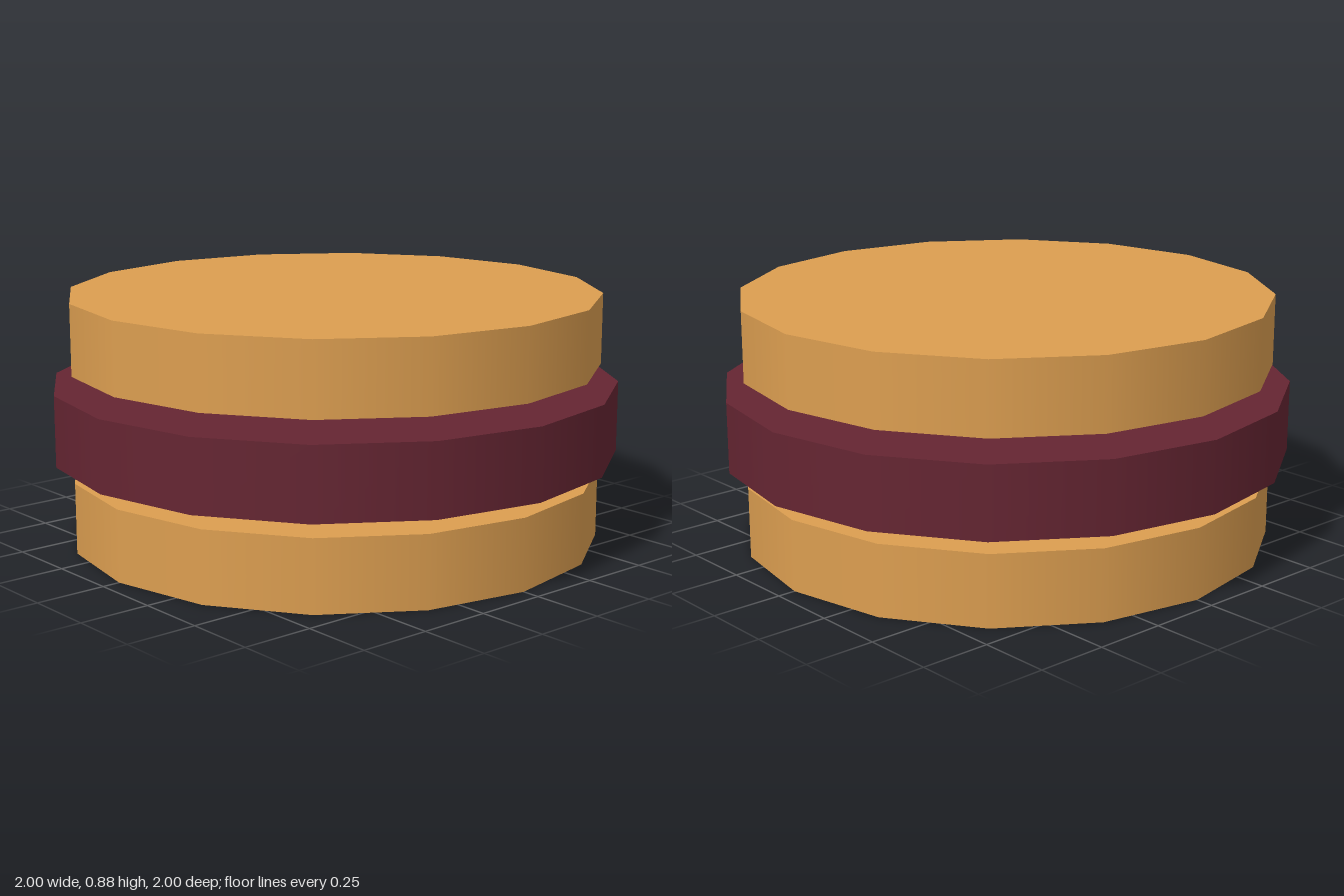
import * as THREE from 'three';

const SIDES = 16;
const THICKNESS = 0.25;

export function createModel() {
  const biscuit = new THREE.MeshStandardMaterial({ color: 0xdc9e50 });
  biscuit.name = 'golden biscuit';
  const filling = new THREE.MeshStandardMaterial({ color: 0x652532 });
  filling.name = 'dark red filling';

  const group = new THREE.Group();
  group.name = 'layeredBiscuit';

  // One flat disc of the stack, with its underside at the given height
  function addDisc(name, radius, bottom, material) {
    const geometry = new THREE.CylinderGeometry(radius, radius, THICKNESS, SIDES);
    const disc = new THREE.Mesh(geometry, material);
    disc.name = name;
    disc.position.y = bottom + THICKNESS / 2;
    group.add(disc);
  }

  // Two biscuits around a wider filling, with small gaps between them
  addDisc('bottomBiscuit', 0.9375, 0, biscuit);
  addDisc('filling', 1, 0.3125, filling);
  addDisc('topBiscuit', 0.9375, 0.625, biscuit);

  return group;
}
